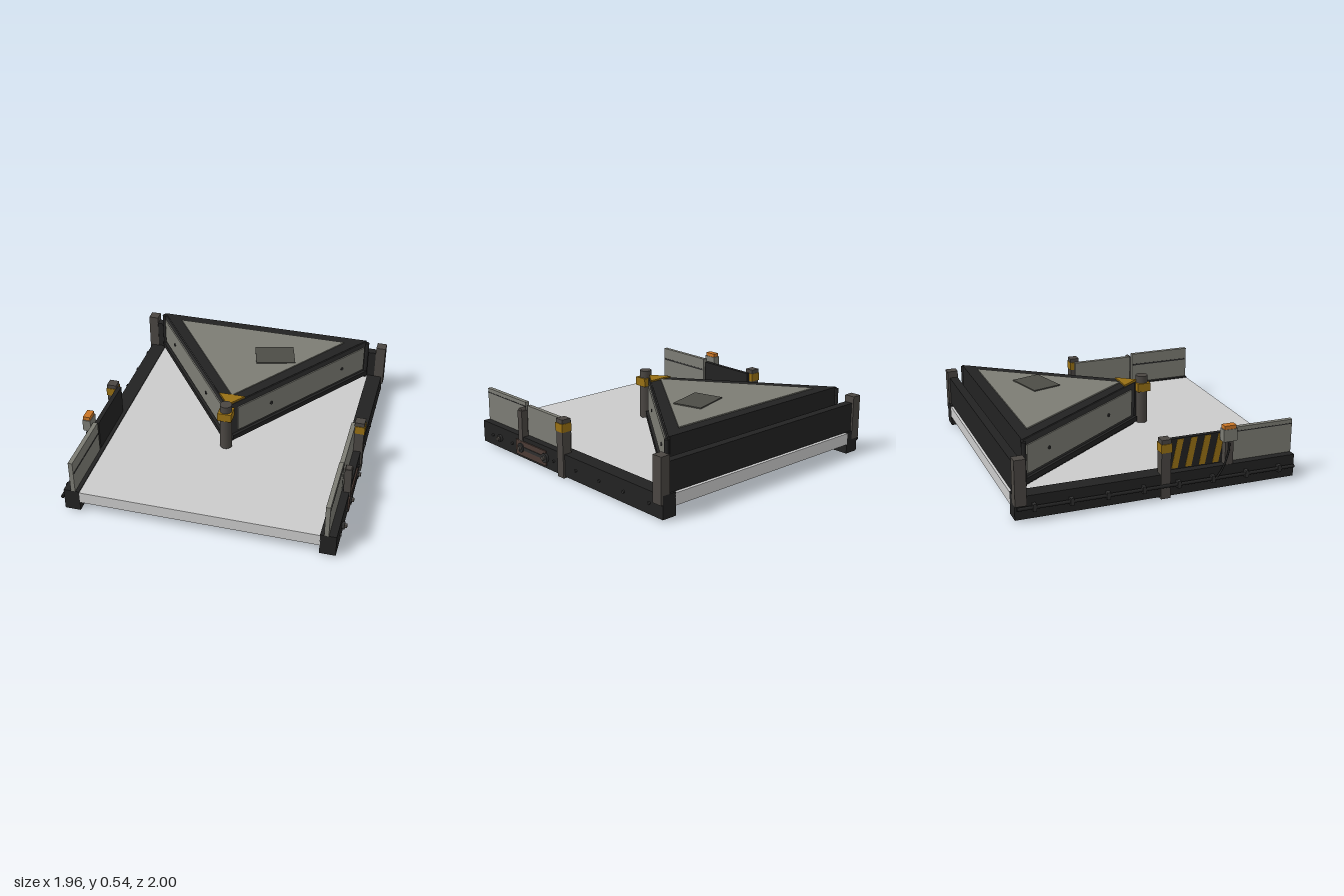
import * as THREE from 'three';

const mat = (color) => new THREE.MeshStandardMaterial({ color });
const M = {
  deck: mat(0xcccccc), black: mat(0x222222), dark: mat(0x2e2e2e), panel: mat(0x7c7c74),
  hatch: mat(0x4c4c46), post: mat(0x4a4642), bracket: mat(0x4a3a34), yellow: mat(0x987014), orange: mat(0xc87424),
};

export function createModel() {
  const root = new THREE.Group();
  root.name = 'barrierPlatform';

  const add = (parent, name, geo, m) => {
    const mesh = new THREE.Mesh(geo, m);
    mesh.name = name;
    parent.add(mesh);
    return mesh;
  };
  // Box given by its extents
  const box = (name, m, x0, x1, y0, y1, z0, z1, parent = root) => {
    const mesh = add(parent, name, new THREE.BoxGeometry(Math.abs(x1 - x0), y1 - y0, z1 - z0), m);
    mesh.position.set((x0 + x1) / 2, (y0 + y1) / 2, (z0 + z1) / 2);
    return mesh;
  };
  const rod = (name, m, r, len, x, y, z, axis = 'y', parent = root) => {
    const geo = new THREE.CylinderGeometry(r, r, len, 20);
    if (axis === 'x') geo.rotateZ(Math.PI / 2);
    if (axis === 'z') geo.rotateX(Math.PI / 2);
    const mesh = add(parent, name, geo, m);
    mesh.position.set(x, y, z);
    return mesh;
  };
  const extrude = (pts, depth) => new THREE.ExtrudeGeometry(
    new THREE.Shape(pts.map(([a, b]) => new THREE.Vector2(a, b))), { depth, bevelEnabled: false });
  // Horizontal slab from [x, z] corners
  const slab = (name, m, pts, y0, y1) => {
    const geo = extrude(pts.map(([x, z]) => [x, -z]), y1 - y0).rotateX(-Math.PI / 2);
    add(root, name, geo, m).position.y = y0;
  };

  // Deck and rear barrier
  box('deck', M.deck, -0.84, 0.84, 0.08, 0.165, -1, 1);
  box('rearBarrier', M.black, -0.9, 0.9, 0.17, 0.38, -0.985, -0.925);

  // Parts shared by both sides
  for (const s of [-1, 1]) {
    box('sideRail', M.black, s * 0.836, s * 0.947, 0.012, 0.172, -1, 1);
    box('rearPost', M.post, s * 0.89, s * 0.962, 0.11, 0.43, -1, -0.922);
    box('middlePost', M.post, s * 0.89, s * 0.96, 0, 0.42, 0, 0.068);
    box('middlePostBand', M.yellow, s * 0.886, s * 0.965, 0.33, 0.39, -0.004, 0.072);
    box('frontGuardPanel', M.panel, s * 0.863, s * 0.894, 0.17, 0.412, 0.52, 1);
    box('guardGroove', M.dark, s * 0.861, s * 0.864, 0.315, 0.327, 0.53, 0.99);
    box('guardTopLine', M.dark, s * 0.893, s * 0.896, 0.378, 0.384, 0.52, 1);
    box('rearGuardPanel', s > 0 ? M.panel : M.black, s * 0.863, s * 0.894, 0.17, 0.392, 0.03, 0.5);
    for (let i = 0; i < 8; i++) {
      const z = -0.875 + i * 0.25;
      rod('outerBolt', M.dark, 0.01, 0.014, s * 0.952, 0.09, z, 'x');
      rod('innerBolt', M.dark, 0.012, 0.02, s * 0.827, 0.04, z, 'x');
    }
  }

  // Left side: stay and roller bracket
  box('guardStay', M.post, 0.905, 0.955, 0.1, 0.365, 0.485, 0.535);
  rod('stayCap', M.post, 0.02, 0.04, 0.93, 0.365, 0.51, 'x');
  box('rollerBracket', M.bracket, 0.945, 0.957, 0.03, 0.14, 0.21, 0.57);
  for (const z of [0.22, 0.505, 0.78]) {
    rod('roller', M.dark, z > 0.7 ? 0.026 : 0.034, 0.02, 0.956, 0.09, z, 'x');
    rod('rollerPin', M.post, 0.015, 0.03, 0.966, 0.09, z, 'x');
  }
  box('bracketBar', M.dark, 0.955, 0.962, 0.078, 0.102, 0.24, 0.48);

  // Right side: striped plate, lamp and cable
  for (let i = 0; i < 4; i++) {
    const z = 0.1 + i * 0.1;
    const geo = extrude([[z, 0.18], [z + 0.045, 0.18], [z + 0.085, 0.385], [z + 0.04, 0.385]], 0.004);
    add(root, 'hazardStripe', geo.rotateY(-Math.PI / 2), M.yellow).position.x = -0.893;
  }
  box('lampStay', M.post, -0.945, -0.895, 0.1, 0.36, 0.47, 0.53);
  box('lampHousing', M.panel, -0.966, -0.908, 0.345, 0.432, 0.445, 0.545);
  box('lampLens', M.orange, -0.962, -0.912, 0.432, 0.458, 0.452, 0.538);
  rod('cable', M.black, 0.012, 1.98, -0.967, 0.095, 0, 'z');
  for (let i = 0; i < 8; i++) {
    const z = -0.875 + i * 0.25;
    box('cableClamp', M.dark, -0.982, -0.945, 0.07, 0.12, z - 0.012, z + 0.012);
  }
  const lead = new THREE.CatmullRomCurve3([[-0.967, 0.095, 0.4], [-0.972, 0.16, 0.44], [-0.97, 0.27, 0.48],
    [-0.95, 0.32, 0.495], [-0.94, 0.35, 0.495]].map((p) => new THREE.Vector3(...p)));
  add(root, 'lampLead', new THREE.TubeGeometry(lead, 24, 0.007, 8), M.black);

  // Wedge body and its top plates
  slab('wedgeBody', M.black, [[-0.81, -0.9], [0, 0.205], [0.81, -0.9]], 0.18, 0.5);
  slab('wedgeTopPanel', M.panel, [[-0.65, -0.82], [0, 0.08], [0.65, -0.82]], 0.495, 0.508);
  slab('noseGusset', M.yellow, [[-0.095, 0.078], [0, 0.205], [0.095, 0.078]], 0.495, 0.511);
  const hatch = box('topHatch', M.hatch, 0.035, 0.325, 0.5, 0.516, -0.61, -0.395);
  hatch.rotation.y = 0.28;

  // Framed panels on the two slanted faces; local z points outward
  for (const s of [-1, 1]) {
    const face = new THREE.Group();
    face.name = 'wedgeSide';
    face.position.set(s * 0.405, 0, -0.3475);
    face.rotation.y = s * Math.atan2(1.105, 0.81);
    root.add(face);
    box('sideFrame', M.dark, s * -0.65, s * 0.685, 0.18, 0.497, -0.01, 0.008, face);
    box('sidePanel', M.panel, s * -0.6, s * 0.655, 0.258, 0.455, 0, 0.017, face);
    box('bottomBumper', M.black, s * -0.655, s * 0.69, 0.2, 0.238, 0, 0.03, face);
    for (const u of [-0.29, 0.42]) rod('panelRivet', M.dark, 0.012, 0.012, s * u, 0.36, 0.018, 'z', face);
    rod('cornerBolt', M.black, 0.016, 0.3, s * 0.685, 0.335, 0.012, 'y', face);
  }

  // Nose post with collar
  rod('nosePost', M.post, 0.043, 0.36, 0, 0.36, 0.248);
  box('noseCollar', M.yellow, -0.05, 0.05, 0.425, 0.487, 0.2, 0.298);

  return root;
}
